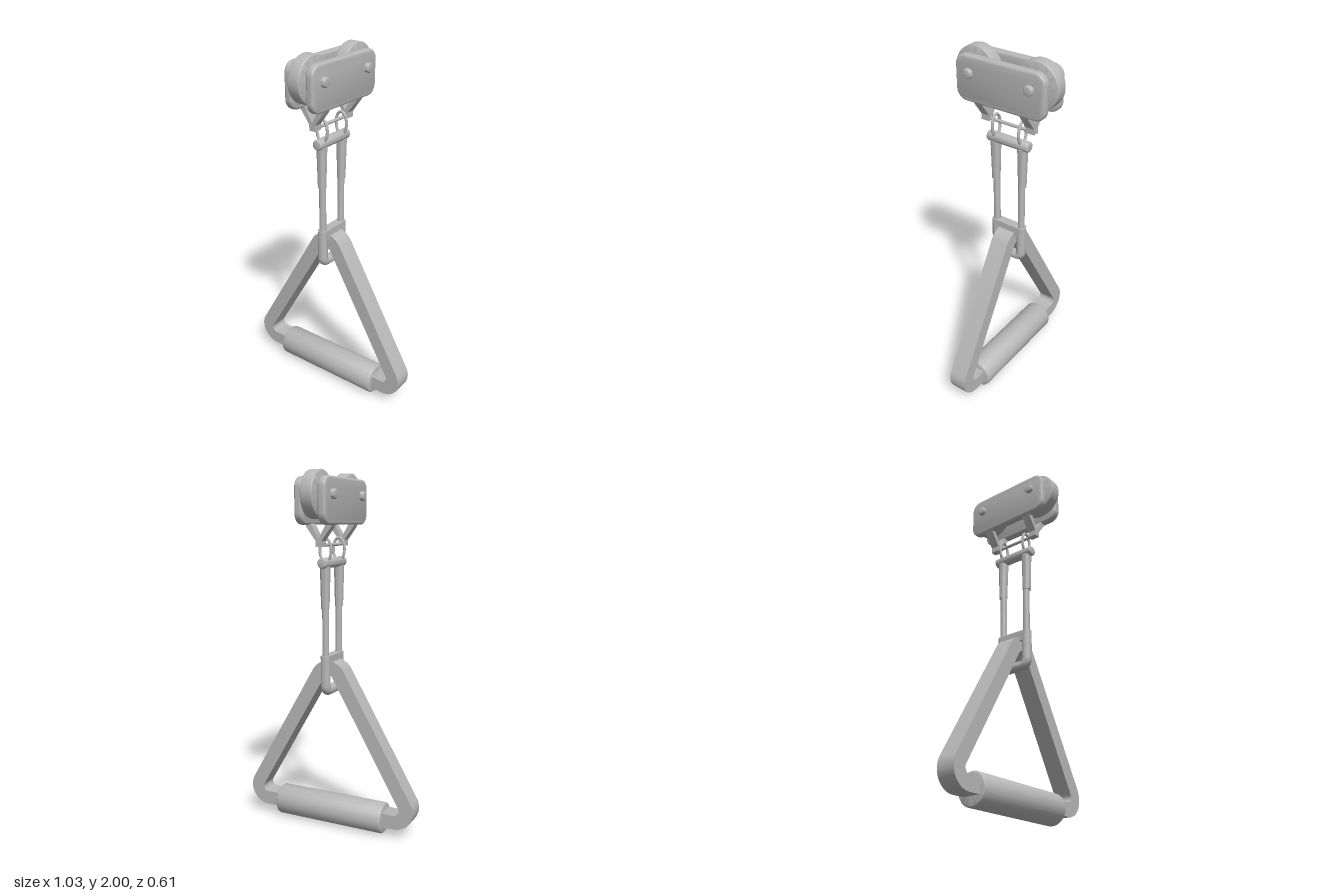
import * as THREE from 'three';
import { toCreasedNormals } from 'three/addons/utils/BufferGeometryUtils.js';

const steel = new THREE.MeshStandardMaterial({ color: 0xb8b8b8 });
steel.name = 'grey steel';

export function createModel() {
  const model = new THREE.Group();
  model.name = 'trolleyHandle';

  const add = (name, geo, x = 0, y = 0, z = 0) => {
    const mesh = new THREE.Mesh(toCreasedNormals(geo, 0.6), steel);
    mesh.name = name;
    mesh.position.set(x, y, z);
    model.add(mesh);
    return mesh;
  };

  // Solid of revolution with rounded rims, centred on its own y axis
  const roundedCylinder = (r, length, b, sides = 40) => {
    const pts = [new THREE.Vector2(0, -length / 2)];
    for (const end of [-1, 1]) {
      for (let i = 0; i <= 4; i++) {
        const a = (end < 0 ? i - 4 : i) * Math.PI / 8;
        pts.push(new THREE.Vector2(r - b + b * Math.cos(a), end * (length / 2 - b) + b * Math.sin(a)));
      }
    }
    pts.push(new THREE.Vector2(0, length / 2));
    return new THREE.LatheGeometry(pts, sides);
  };
  const alongX = (g) => g.rotateZ(-Math.PI / 2);
  const alongZ = (g) => g.rotateX(Math.PI / 2);

  // Rounded rectangle outline
  const roundedRect = (w, h, r) => {
    const s = new THREE.Shape();
    s.absarc(w / 2 - r, h / 2 - r, r, 0, Math.PI / 2);
    s.absarc(r - w / 2, h / 2 - r, r, Math.PI / 2, Math.PI);
    s.absarc(r - w / 2, r - h / 2, r, Math.PI, Math.PI * 1.5);
    s.absarc(w / 2 - r, r - h / 2, r, Math.PI * 1.5, Math.PI * 2);
    s.closePath();
    return s;
  };

  // Rounded triangle outline around three fixed corner centres
  const triangle = (path, r) => {
    const corners = [[0.405, 0.165, -90], [0, 0.866, 30], [-0.405, 0.165, 150]];
    for (const [x, y, deg] of corners) {
      const a = THREE.MathUtils.degToRad(deg);
      path.absarc(x, y, r, a, a + Math.PI * 2 / 3);
    }
    path.closePath();
    return path;
  };

  // Handle frame and grip
  const frame = triangle(new THREE.Shape(), 0.11);
  frame.holes.push(triangle(new THREE.Path(), 0.03));
  add('handleFrame', new THREE.ExtrudeGeometry(frame, { depth: 0.106, bevelEnabled: false, curveSegments: 16 })
    .translate(0, 0, -0.053));
  add('grip', alongX(roundedCylinder(0.088, 0.666, 0.012, 48)), 0, 0.088, 0);

  // Wheels and axles
  for (const z of [0.182, -0.182]) {
    add('wheel', alongX(roundedCylinder(0.125, 0.07, 0.008, 56)), 0, 1.875, z);
    add('axle', alongX(roundedCylinder(0.026, 0.224, 0.008, 24)), 0, 1.875, z);
  }

  for (const s of [1, -1]) {
    // Side plates
    const b = 0.014;
    add('sidePlate', new THREE.ExtrudeGeometry(roundedRect(0.536, 0.246, 0.06), {
      depth: 0.046 - 2 * b, bevelThickness: b, bevelSize: b, bevelOffset: -b, bevelSegments: 4, curveSegments: 10,
    }).translate(0, 0, b - 0.023).rotateY(Math.PI / 2), s * 0.067, 1.843, 0);

    // Slanted hanger straps converging under the plates
    for (const z of [0.14, -0.14]) {
      const strap = new THREE.Shape([
        [0.08, 1.735], [0.05, 1.735], [0.0, 1.648], [0.0, 1.605], [0.018, 1.605], [0.018, 1.637], [0.072, 1.71],
      ].map(([x, y]) => new THREE.Vector2(s * x, y)));
      add('hangerStrap', new THREE.ExtrudeGeometry(strap, { depth: 0.05, bevelEnabled: false })
        .translate(0, 0, z - 0.025));
    }

    // Oval link
    const oval = new THREE.CatmullRomCurve3(Array.from({ length: 16 }, (_, i) => {
      const a = i / 16 * Math.PI * 2;
      return new THREE.Vector3(0.034 * Math.cos(a), 1.587 + 0.062 * Math.sin(a), s * 0.083);
    }), true);
    add('ovalLink', new THREE.TubeGeometry(oval, 40, 0.008, 8, true));

    // Upright: tapered sleeve over a thin rod
    add('uprightSleeve', new THREE.CylinderGeometry(0.029, 0.023, 0.23, 24), 0, 1.385, s * 0.086);
    add('uprightRod', new THREE.CylinderGeometry(0.019, 0.019, 0.5, 20), 0, 1.23, s * 0.082);
    add('loopCap', new THREE.CylinderGeometry(0.0275, 0.0275, 0.02, 24), 0, 1.0, s * 0.083);
  }

  // Rods across the hanger
  add('hangerRod', alongZ(new THREE.CylinderGeometry(0.009, 0.009, 0.32, 12)), 0, 1.614, 0);
  add('crossBar', alongZ(roundedCylinder(0.029, 0.262, 0.01, 28)), 0, 1.518, 0);

  // U-shaped loop carrying the handle frame
  const v = (y, z) => new THREE.Vector3(0, y, z);
  const loop = new THREE.CurvePath();
  loop.add(new THREE.LineCurve3(v(1.0, 0.083), v(0.845, 0.083)));
  loop.add(new THREE.QuadraticBezierCurve3(v(0.845, 0.083), v(0.81, 0.083), v(0.81, 0.048)));
  loop.add(new THREE.LineCurve3(v(0.81, 0.048), v(0.81, -0.048)));
  loop.add(new THREE.QuadraticBezierCurve3(v(0.81, -0.048), v(0.81, -0.083), v(0.845, -0.083)));
  loop.add(new THREE.LineCurve3(v(0.845, -0.083), v(1.0, -0.083)));
  add('carryingLoop', new THREE.TubeGeometry(loop, 70, 0.0275, 20, false));
  add('loopBridge', new THREE.BoxGeometry(0.052, 0.06, 0.15), 0, 0.98, 0);

  return model;
}
